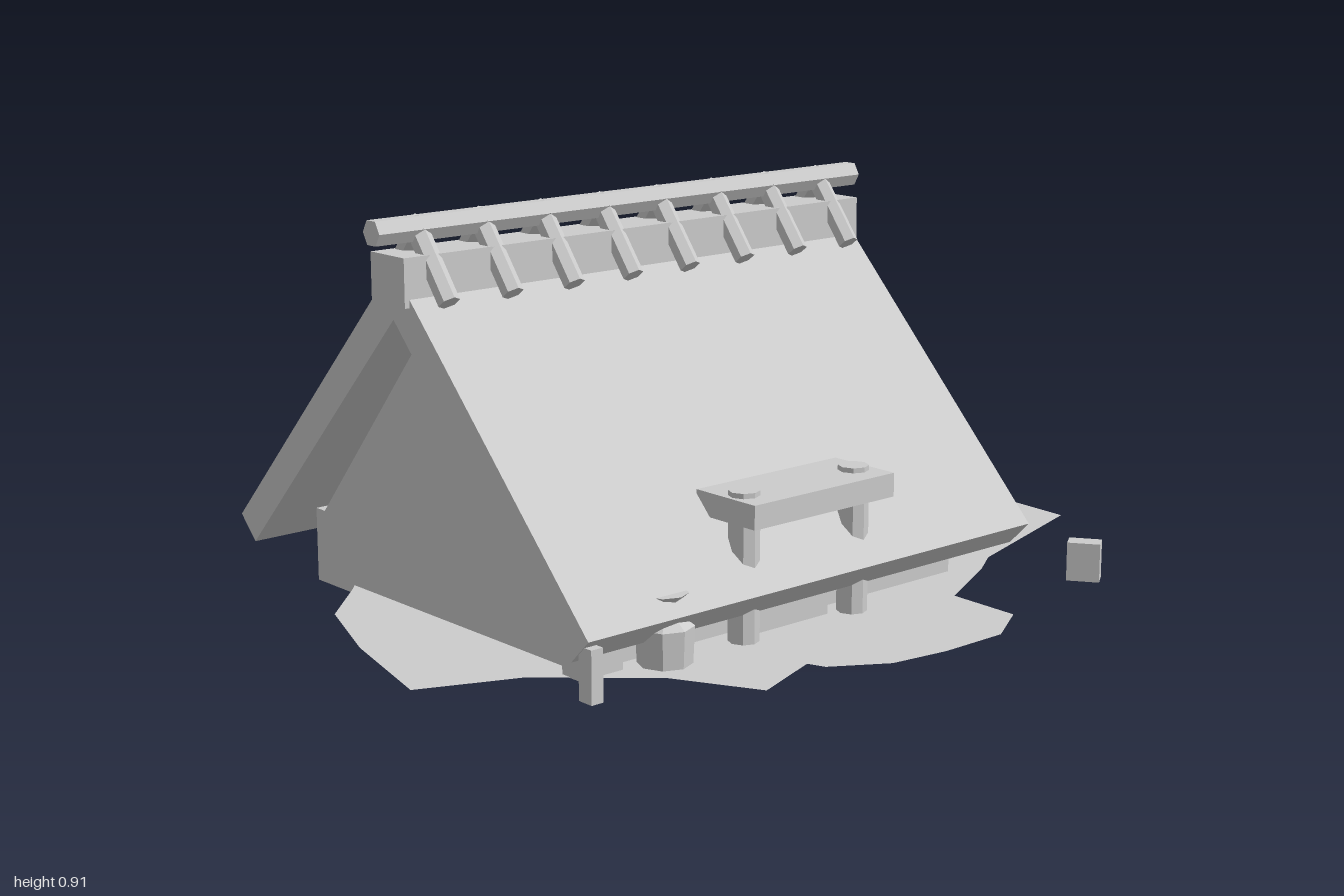
import * as THREE from 'three';

export function createModel() {
  const model = new THREE.Group();
  const grey = new THREE.MeshStandardMaterial({ color: 0xcccccc });
  grey.name = 'light grey';
  const groundGrey = grey.clone();
  groundGrey.side = THREE.DoubleSide;

  function add(name, geometry, material = grey) {
    const flat = geometry.index ? geometry.toNonIndexed() : geometry;
    flat.computeVertexNormals();
    const mesh = new THREE.Mesh(flat, material);
    mesh.name = name;
    model.add(mesh);
    return mesh;
  }

  // Box given by its limits on each axis
  function box(name, x0, x1, y0, y1, z0, z1) {
    const g = new THREE.BoxGeometry(x1 - x0, y1 - y0, z1 - z0);
    g.translate((x0 + x1) / 2, (y0 + y1) / 2, (z0 + z1) / 2);
    return add(name, g);
  }

  // Faceted rod between two points
  function rod(name, a, b, r, sides = 6, spin = 0) {
    const from = new THREE.Vector3(...a), to = new THREE.Vector3(...b);
    const dir = to.clone().sub(from);
    const g = new THREE.CylinderGeometry(r, r, dir.length(), sides);
    g.rotateY(spin);
    g.applyQuaternion(new THREE.Quaternion().setFromUnitVectors(
      new THREE.Vector3(0, 1, 0), dir.normalize()));
    g.translate(...from.add(to).multiplyScalar(0.5).toArray());
    return add(name, g);
  }

  // Profile of [z, y] points extruded along x
  function prism(name, points, x0, x1) {
    const shape = new THREE.Shape(points.map(([z, y]) => new THREE.Vector2(-z, y)));
    const g = new THREE.ExtrudeGeometry(shape, { depth: x1 - x0, bevelEnabled: false });
    g.rotateY(Math.PI / 2).translate(x0, 0, 0);
    return add(name, g);
  }

  const ridgeZ = -0.097;

  // Irregular ground sheet, points are [x, z]
  const outline = [
    [0, -0.74], [0.42, -0.795], [0.8, -0.63], [0.785, -0.28], [0.997, -0.045],
    [0.98, 0.245], [0.565, 0.375], [0.48, 0.43], [0.28, 0.53], [0.275, 0.71],
    [0.15, 0.785], [-0.02, 0.785], [-0.16, 0.765], [-0.28, 0.69], [-0.295, 0.65],
    [-0.47, 0.715], [-0.57, 0.525], [-0.785, 0.33], [-1, 0.24], [-0.925, -0.05],
    [-0.835, -0.28], [-0.7, -0.41], [-0.5, -0.63], [-0.41, -0.72],
  ];
  const ground = new THREE.ShapeGeometry(
    new THREE.Shape(outline.map(([x, z]) => new THREE.Vector2(x, -z))));
  ground.rotateX(-Math.PI / 2).translate(0, 0.02, 0);
  add('ground', ground, groundGrey);

  // House body and roof
  box('foundation', -0.68, 0.41, 0, 0.172, -0.58, 0.39);
  prism('gableWalls', [[0.353, 0.17], [ridgeZ, 0.697], [-0.547, 0.17]], -0.68, 0.41);
  prism('roof', [
    [0.54, 0.146], [ridgeZ, 0.81], [-0.734, 0.146],
    [-0.679, 0.091], [ridgeZ, 0.697], [0.485, 0.091],
  ], -0.785, 0.515);

  // Ridge beam, ridge pole and crossed pegs
  box('ridgeBeam', -0.797, 0.524, 0.73, 0.836, -0.157, -0.037);
  rod('ridgePole', [-0.835, 0.885, ridgeZ], [0.56, 0.885, ridgeZ], 0.03);
  for (let i = 0; i < 8; i++) {
    const x = -0.72 + i * 0.1667;
    for (const s of [-1, 1]) {
      rod('ridgePeg', [x, 0.74, ridgeZ + s * 0.11], [x, 0.9, ridgeZ - s * 0.012], 0.024);
    }
  }

  // Bench through the front roof, with its step
  box('benchTop', -0.342, 0.068, 0.29, 0.343, 0.36, 0.54);
  for (const x of [-0.3, 0.022]) {
    rod('benchLeg', [x, 0.025, 0.462], [x, 0.354, 0.462], 0.034, 8);
  }
  box('frontStep', -0.27, -0.03, 0.022, 0.1, 0.38, 0.44);

  // Hourglass tub, small crate and corner post at the front
  const tub = new THREE.LatheGeometry([
    [0, 0.035], [0.058, 0.035], [0.062, 0.115], [0.012, 0.152], [0.05, 0.185], [0, 0.185],
  ].map(([r, y]) => new THREE.Vector2(r, y)), 8);
  tub.translate(-0.537, 0, 0.482);
  add('tub', tub);
  box('crate', -0.74, -0.63, 0.035, 0.14, 0.4, 0.46);
  box('cornerPost', -0.782, -0.752, 0.016, 0.13, 0.505, 0.545);

  // Stove and chimney at the gable
  box('stoveBase', 0.36, 0.6, 0.027, 0.215, -0.245, 0.05);
  box('stoveTop', 0.45, 0.63, 0.178, 0.245, -0.213, 0.017);
  rod('chimney', [0.562, 0.2, -0.1], [0.562, 0.472, -0.1], 0.07, 8, Math.PI / 8);
  rod('chimneyCap', [0.562, 0.46, -0.1], [0.562, 0.48, -0.1], 0.04, 8);

  // Stacked firewood
  for (let i = 0; i < 3; i++) {
    const z = 0.265 - i * 0.077;
    rod('log', [0.4, 0.137, z], [0.65, 0.137, z], 0.032);
    rod('log', [0.4, 0.08, z + 0.039], [0.65, 0.08, z + 0.039], 0.032);
  }

  // Scattered stones: x, z, width, depth, top, turn
  for (const [x, z, w, d, top, turn] of [
    [0.813, -0.665, 0.092, 0.052, 0.105, 0],
    [0.672, -0.622, 0.03, 0.053, 0.095, 0.5],
    [0.597, 0.638, 0.045, 0.075, 0.11, 0.6],
  ]) {
    const g = new THREE.BoxGeometry(w, top - 0.02, d);
    g.rotateY(turn).translate(x, (top + 0.02) / 2, z);
    add('stone', g);
  }

  return model;
}
